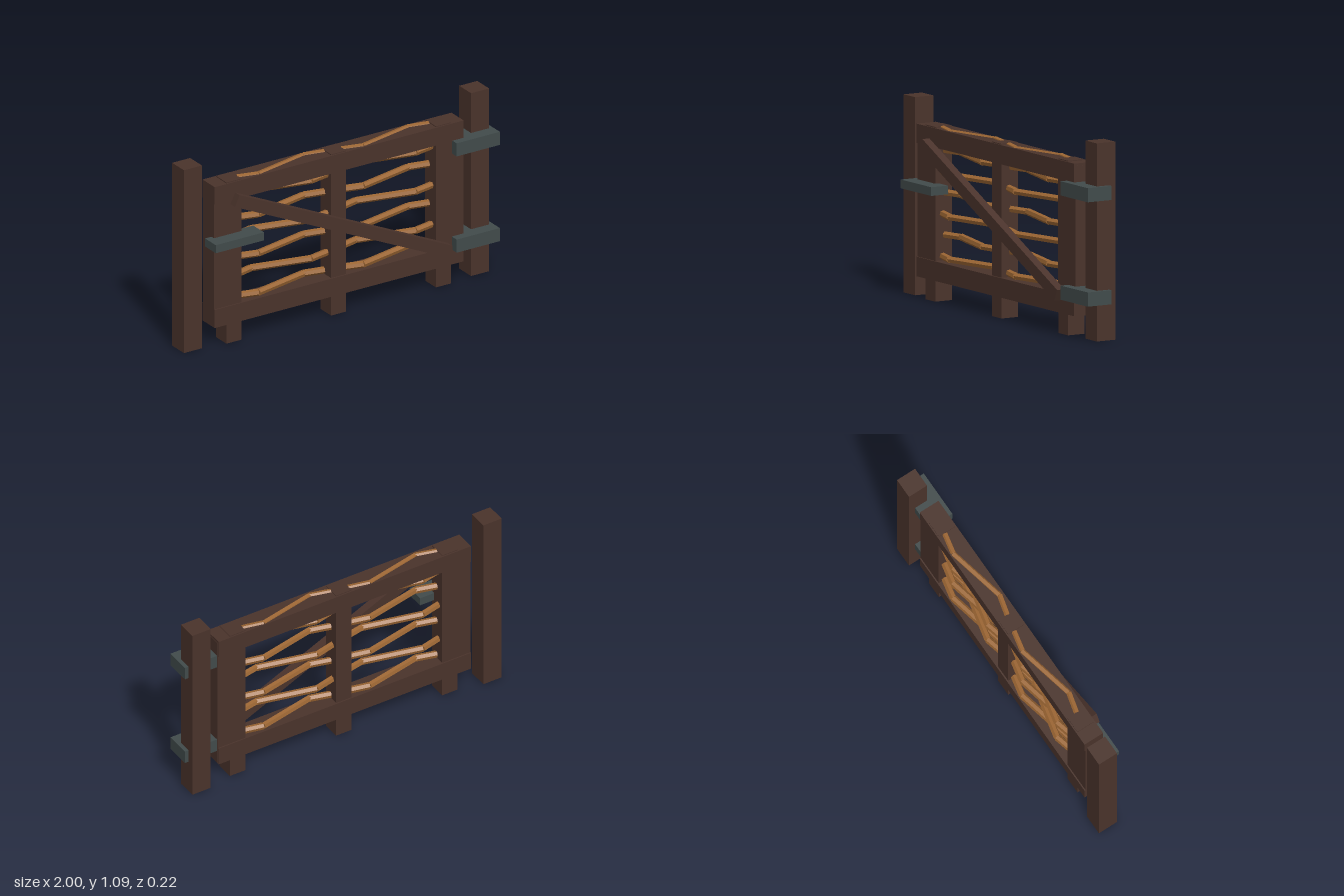
import * as THREE from 'three';

export function createModel() {
  const group = new THREE.Group();
  const wood = new THREE.MeshStandardMaterial({ color: 0x4a332b, flatShading: true, name: 'dark wood' });
  const twig = new THREE.MeshStandardMaterial({ color: 0x9c6633, flatShading: true, name: 'light wood' });
  const iron = new THREE.MeshStandardMaterial({ color: 0x414b4b, flatShading: true, name: 'iron' });

  // Box given by its limits on each axis
  function box(name, mat, [x0, x1], [y0, y1], [z0, z1]) {
    const m = new THREE.Mesh(new THREE.BoxGeometry(x1 - x0, y1 - y0, z1 - z0), mat);
    m.position.set((x0 + x1) / 2, (y0 + y1) / 2, (z0 + z1) / 2);
    m.name = name;
    group.add(m);
    return m;
  }

  // Standing posts on either side
  box('latchPost', wood, [-1, -0.883], [0, 1.09], [-0.112, 0.006]);
  box('hingePost', wood, [0.86, 0.977], [0, 1.09], [-0.112, 0.006]);

  // Gate frame: uprights that reach the ground, wide stiles, rails
  for (const x of [-0.69, -0.012, 0.667])
    box('upright', wood, [x - 0.049, x + 0.049], [0, 0.961], [-0.078, 0.028]);
  box('latchStile', wood, [-0.82, -0.642], [0.12, 0.943], [-0.079, 0.029]);
  box('hingeStile', wood, [0.618, 0.795], [0.12, 0.943], [-0.079, 0.029]);
  box('topRail', wood, [-0.82, 0.793], [0.85, 0.956], [-0.086, 0.036]);
  box('bottomRail', wood, [-0.82, 0.793], [0.116, 0.224], [-0.086, 0.036]);

  // Diagonal brace on the front
  const a = new THREE.Vector2(-0.703, 0.861), b = new THREE.Vector2(0.676, 0.219);
  const half = a.distanceTo(b) / 2;
  const brace = box('brace', wood, [-half, half], [-0.035, 0.035], [0.034, 0.081]);
  brace.position.x = (a.x + b.x) / 2;
  brace.position.y = (a.y + b.y) / 2;
  brace.rotation.z = Math.atan2(b.y - a.y, b.x - a.x);

  // Latch and hinges
  box('latch', iron, [-0.862, -0.55], [0.601, 0.649], [0.004, 0.111]);
  for (const y of [0.24, 0.814])
    box('hinge', iron, [0.72, 1], [y - 0.039, y + 0.039], [-0.072, 0.078]);

  // Bent sticks woven between the uprights, mirrored in z on every other row
  const up = new THREE.Vector3(0, 1, 0);
  const path = [[0, -0.02 + 0.028], [0.12, 0.038], [0.46, -0.038], [0.58, -0.013]];
  for (let row = 0; row < 8; row++) {
    const s = row % 2 ? 1 : -1;
    for (const x of [-0.642, 0.036]) {
      const stick = new THREE.Group();
      stick.name = 'wovenStick';
      const pts = path.map(([px, pz]) => new THREE.Vector3(x + px, 0.13 + row * 0.1166, -0.028 + s * pz));
      for (let i = 0; i < 3; i++) {
        const dir = pts[i + 1].clone().sub(pts[i]);
        const seg = new THREE.Mesh(new THREE.CylinderGeometry(0.02, 0.02, dir.length(), 6), twig);
        seg.name = 'stickSegment';
        seg.position.copy(pts[i]).addScaledVector(dir, 0.5);
        seg.quaternion.setFromUnitVectors(up, dir.normalize());
        stick.add(seg);
      }
      group.add(stick);
    }
  }
  return group;
}
